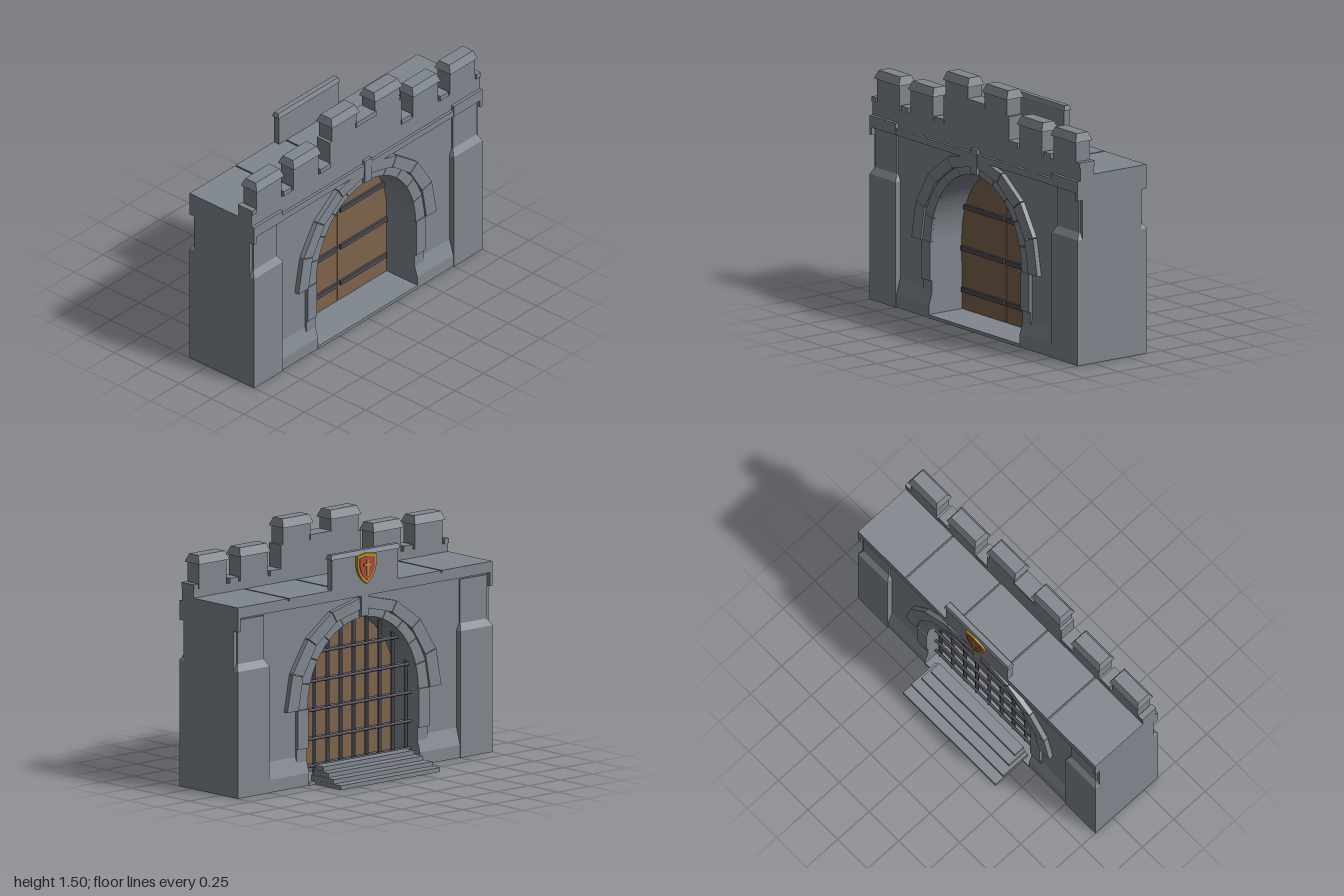
import * as THREE from 'three';

const mat = (name, color) => Object.assign(new THREE.MeshStandardMaterial({ color }), { name });

export function createModel() {
  const stone = mat('stone', 0x80878e);
  const wood = mat('wood', 0x7d634b);
  const iron = mat('iron', 0x4a4a55);
  const red = mat('red enamel', 0xa8484a);
  const gold = mat('gold', 0xb8901c);
  const gate = new THREE.Group();
  gate.name = 'castleGate';

  const MID = 0.11;      // centre plane of the wall in z
  const SPRING = 0.45;   // height where the arch begins
  const RX = 0.435, RY = 0.485;

  const add = (name, geo, material) => {
    const m = new THREE.Mesh(geo, material);
    m.name = name;
    gate.add(m);
    return m;
  };
  // block between limits; the top can be drawn in by ix and iz
  const block = (name, [x0, x1], [y0, y1], [z0, z1], material = stone, ix = 0, iz = 0) => {
    const w = x1 - x0, d = z1 - z0;
    let g = new THREE.BoxGeometry(w, y1 - y0, d);
    const p = g.attributes.position;
    for (let i = 0; i < p.count; i++) {
      if (p.getY(i) > 0) {
        p.setX(i, p.getX(i) * (1 - 2 * ix / w));
        p.setZ(i, p.getZ(i) * (1 - 2 * iz / d));
      }
    }
    g.translate((x0 + x1) / 2, (y0 + y1) / 2, (z0 + z1) / 2);
    if (ix || iz) { g = g.toNonIndexed(); g.computeVertexNormals(); }
    return add(name, g, material);
  };
  const through = (half) => [MID - half, MID + half];
  const side = (s, a, b) => (s > 0 ? [a, b] : [-b, -a]);
  const extrude = (shape, z0, z1, curveSegments = 24) => {
    const g = new THREE.ExtrudeGeometry(shape, { depth: z1 - z0, bevelEnabled: false, curveSegments });
    return g.translate(0, 0, z0);
  };
  const archPoint = (a, rx, ry) => new THREE.Vector2(rx * Math.cos(a), SPRING + ry * Math.sin(a));

  // Main wall with arched passage
  const wall = new THREE.Shape([[-1, 0], [1, 0], [1, 1.115], [-1, 1.115]].map(p => new THREE.Vector2(...p)));
  const hole = new THREE.Path();
  hole.moveTo(-RX, 0.02);
  hole.lineTo(-RX, SPRING);
  hole.absellipse(0, SPRING, RX, RY, Math.PI, 0, true);
  hole.lineTo(RX, 0.02);
  hole.closePath();
  wall.holes.push(hole);
  add('wall', extrude(wall, ...through(0.215)), stone);
  block('passageFloor', [-0.44, 0.44], [0, 0.02], through(0.249));

  // Corner pilasters, plinths and jambs pass through the wall to both faces
  for (const s of [1, -1]) {
    block('pilasterBase', side(s, 0.75, 1), [0, 0.75], through(0.25));
    block('pilasterShoulder', side(s, 0.75, 1), [0.75, 0.79], through(0.25), stone, 0.02, 0.025);
    block('pilasterShaft', side(s, 0.77, 0.98), [0.79, 1.05], through(0.225));
    block('cornerBracket', side(s, 0.98, 1), [0.985, 1.1], through(0.25));
    block('plinth', side(s, RX, 0.76), [0, 0.075], through(0.245));
    block('plinthSlope', side(s, RX, 0.76), [0.075, 0.175], through(0.245), stone, 0, 0.03);
    block('jamb', side(s, RX, 0.515), [0.1, 0.22], through(0.225));
    block('jambStone', side(s, RX, 0.515), [0.22, SPRING], through(0.238));
    block('corniceEnd', side(s, 0.75, 1), [1.03, 1.1], [0.3, 0.36]);
  }

  // Arch stones in two rings
  const ring = (name, count, inner, outer, half, outerSides) => {
    const end = Math.PI / 2 - 0.055, gap = 0.008;
    for (const s of [1, -1]) {
      for (let i = 0; i < count; i++) {
        const a0 = end * i / count + gap / 2, a1 = end * (i + 1) / count - gap / 2;
        const pts = [archPoint(a0, ...outer), archPoint(a1, ...outer)];
        for (let k = 0; k <= outerSides; k++) pts.push(archPoint(a1 + (a0 - a1) * k / outerSides, ...inner));
        pts.forEach(p => { p.x *= s; });
        add(name, extrude(new THREE.Shape(pts), ...through(half)), stone);
      }
    }
  };
  ring('innerArchStone', 5, [RX, RY], [0.515, 0.535], 0.232, 4);
  ring('outerArchStone', 4, [0.517, 0.537], [0.605, 0.605], 0.245, 1);
  block('keystone', [-0.03, 0.03], [0.945, 1.095], through(0.25));

  // Cornices and roof slabs with open joints
  block('frontCornice', [-0.76, 0.76], [1.03, 1.07], [0.3, 0.358]);
  block('backCornice', [-1, 1], [1.065, 1.115], [-0.14, 0]);
  const joints = [-1, -0.6, -0.2, 0.2, 0.6, 1];
  for (let i = 0; i < 5; i++) {
    block('roofSlab', [joints[i] + (i ? 0.005 : 0), joints[i + 1] - (i < 4 ? 0.005 : 0)], [1.1, 1.13], [-0.14, 0.25]);
  }

  // Front parapet with battlements
  const parapetZ = [0.24, 0.34];
  block('parapet', [-1, 1], [1.07, 1.18], parapetZ);
  block('raisedParapet', [-0.315, 0.315], [1.18, 1.35], parapetZ);
  block('middleCoping', [-0.088, 0.088], [1.35, 1.38], [0.235, 0.345]);
  for (const s of [1, -1]) {
    block('coping', side(s, 0.965, 1), [1.18, 1.21], [0.235, 0.345]);
    block('coping', side(s, 0.65, 0.72), [1.18, 1.21], [0.235, 0.345]);
    block('coping', side(s, 0.31, 0.4), [1.18, 1.21], [0.235, 0.345]);
    for (const [x, base, capY] of [[0.188, 1.35, 1.45], [0.523, 1.18, 1.325], [0.848, 1.18, 1.325]]) {
      block('merlon', [s * x - 0.108, s * x + 0.108], [base, capY], parapetZ);
      block('merlonCap', [s * x - 0.12, s * x + 0.12], [capY, capY + 0.05], [0.228, 0.352], stone, 0.016, 0.022);
    }
  }

  // Rear panel with shield
  block('rearPanel', [-0.26, 0.26], [1.08, 1.31], [-0.14, -0.1]);
  block('rearPanelCap', [-0.27, 0.27], [1.31, 1.338], [-0.147, -0.095], stone, 0.008, 0.01);
  const shield = (k) => {
    const s = new THREE.Shape();
    s.moveTo(0, 0.083 * k);
    s.lineTo(0.075 * k, 0.072 * k);
    s.bezierCurveTo(0.085 * k, -0.02 * k, 0.05 * k, -0.07 * k, 0, -0.098 * k);
    s.bezierCurveTo(-0.05 * k, -0.07 * k, -0.085 * k, -0.02 * k, -0.075 * k, 0.072 * k);
    return s;
  };
  const shieldY = 1.237;
  add('shieldRim', extrude(shield(1), -0.157, -0.138, 10), gold).position.y = shieldY;
  add('shieldField', extrude(shield(0.78), -0.161, -0.156, 10), red).position.y = shieldY;
  block('crossUpright', [-0.007, 0.007], [shieldY - 0.05, shieldY + 0.045], [-0.166, -0.16], gold);
  block('crossArm', [-0.03, 0.03], [shieldY + 0.008, shieldY + 0.022], [-0.166, -0.16], gold);

  // Double door with iron straps
  for (const s of [1, -1]) {
    const leaf = new THREE.Shape();
    leaf.moveTo(s * 0.004, 0.022);
    leaf.lineTo(s * 0.43, 0.022);
    for (let i = 0; i <= 16; i++) {
      const p = archPoint((Math.PI / 2 - 0.008) * i / 16, 0.432, 0.48);
      leaf.lineTo(s * p.x, p.y);
    }
    add('doorLeaf', extrude(leaf, 0.08, 0.12), wood);
    for (const [y, end] of [[0.14, 0.42], [0.387, 0.425], [0.64, 0.4]]) {
      block('doorStrap', side(s, 0.017, end), [y - 0.014, y + 0.014], [0.115, 0.135], iron);
    }
  }
  block('doorSeam', [-0.006, 0.006], [0.022, 0.925], [0.095, 0.105], iron);

  // Portcullis behind the door
  const bar = (name, length, r) => add(name, new THREE.CylinderGeometry(r, r, length, 8), iron);
  for (let i = -4; i <= 4; i++) {
    const x = i * 0.1025;
    const top = SPRING + RY * Math.sqrt(1 - (x / RX) ** 2);
    bar('portcullisUpright', top, 0.011).position.set(x, top / 2, -0.04);
  }
  for (const y of [0.09, 0.25, 0.42, 0.59, 0.76]) {
    const t = Math.max(0, (y - SPRING) / RY);
    const half = 0.445 * Math.sqrt(1 - t * t);
    for (const z of [-0.056, -0.024]) {
      const m = bar('portcullisCrossbar', half * 2, 0.009);
      m.rotation.z = Math.PI / 2;
      m.position.set(0, y, z);
    }
  }

  // Rear steps
  [[0.39, -0.358], [0.388, -0.295], [0.37, -0.232], [0.355, -0.17]].forEach(([w, z], i) => {
    block('step', [-w, w], [i * 0.026, (i + 1) * 0.026], [z, -0.1]);
  });

  return gate;
}
